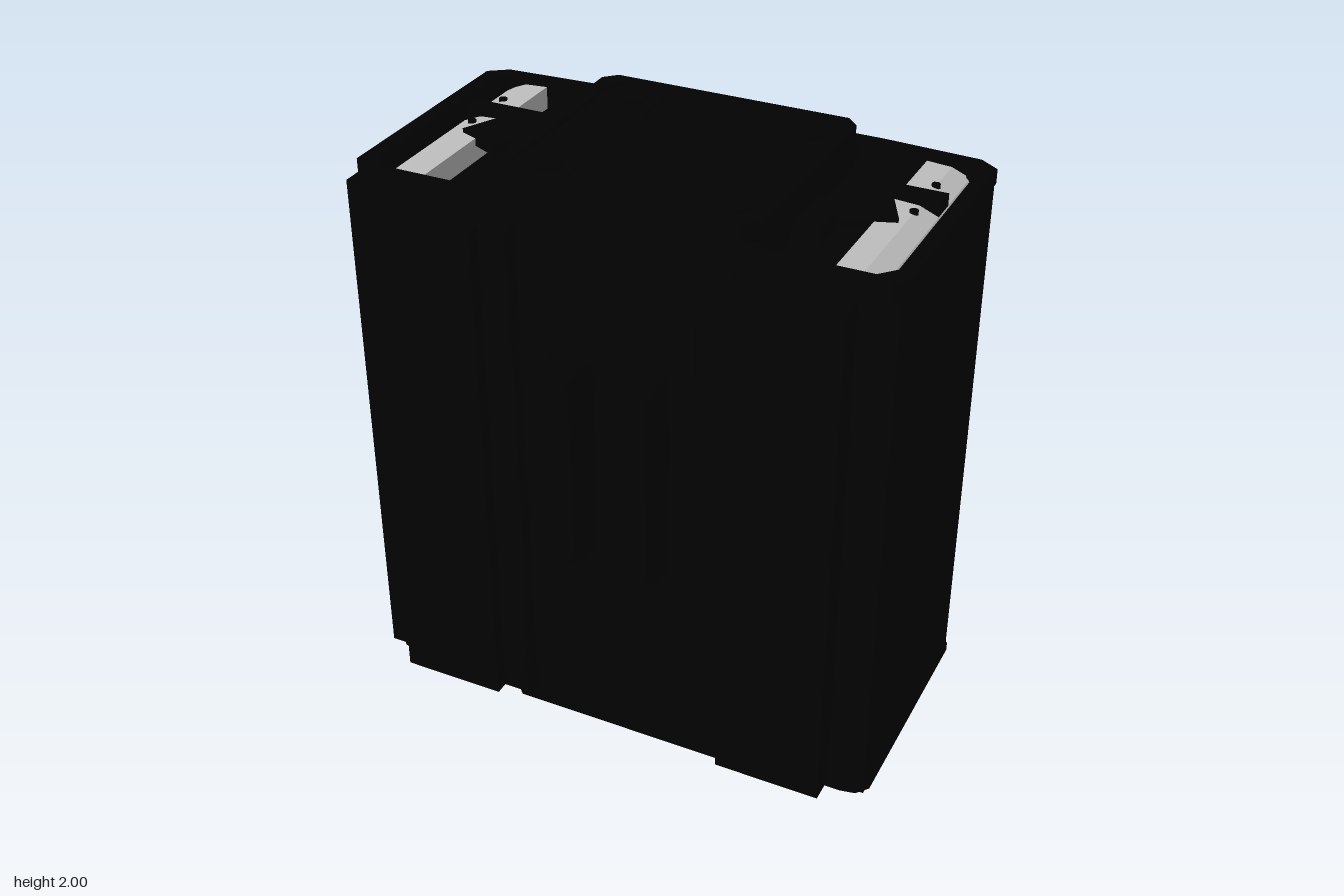
import * as THREE from 'three';

export function createModel() {
  const model = new THREE.Group();
  const cabinet = new THREE.Group();
  cabinet.name = 'cabinet';
  cabinet.position.x = 0.006;
  model.add(cabinet);
  const mat = (name, color) => {
    const m = new THREE.MeshStandardMaterial({ color });
    m.name = name;
    return m;
  };
  const black = mat('black casing', 0x020202);
  black.side = THREE.DoubleSide;
  const grey = mat('grey interior', 0xbebebe);

  const add = (name, geo, material = black, parent = cabinet) => {
    const m = new THREE.Mesh(geo, material);
    m.name = name;
    parent.add(m);
    return m;
  };
  // box from minimum and maximum corners
  const box = (name, x0, x1, y0, y1, z0, z1, material, parent) => {
    const m = add(name, new THREE.BoxGeometry(x1 - x0, y1 - y0, z1 - z0), material, parent);
    m.position.set((x0 + x1) / 2, (y0 + y1) / 2, (z0 + z1) / 2);
    return m;
  };
  // plan outline given as [x, z] points, raised from y0 to y1
  const plan = (pts, y0, y1, holes = []) => {
    const toV = (a) => a.map(([x, z]) => new THREE.Vector2(x, -z));
    const s = new THREE.Shape(toV(pts));
    holes.forEach((h) => s.holes.push(new THREE.Path(toV(h))));
    const g = new THREE.ExtrudeGeometry(s, { depth: y1 - y0, bevelEnabled: false });
    return g.rotateX(-Math.PI / 2).translate(0, y0, 0);
  };
  const chamfered = (x0, x1, z0, z1, c) => [
    [x0 + c, z0], [x1 - c, z0], [x1, z0 + c], [x1, z1 - c],
    [x1 - c, z1], [x0 + c, z1], [x0, z1 - c], [x0, z0 + c]];
  // casing outline, half mirrored about x = 0
  const outline = (d) => {
    const half = [[0.12, 0.413 - d], [0.56, 0.413 - d], [0.64, 0.4 - d], [0.8, 0.4 - d], [0.85 - d, 0.39 - d],
      [0.883 - d, 0.35], [0.883 - d, -0.42 + d], [0.82 - d, -0.465 + d], [0.5, -0.482 + d]];
    return [...half, ...half.map(([x, z]) => [-x, z]).reverse()];
  };

  // outer casing, open at both ends over the side bays
  add('casing', plan(outline(0.004), 0.11, 1.89, [outline(0.04)]));
  const well = [[0.44, -0.43], [0.8, -0.43], [0.835, -0.39], [0.835, 0.31], [0.79, 0.36], [0.44, 0.36]];
  add('topRim', plan(outline(0), 1.888, 1.935, [well, well.map(([x, z]) => [-x, z])]));
  add('bottomRim', plan(outline(0), 0.08, 0.112, [chamfered(-0.835, -0.63, -0.05, 0.36, 0.04)]));
  box('core', -0.66, 0.66, 0.13, 1.84, -0.445, 0.375);
  // pale liner inside the lower side opening
  box('bayLiner', -0.845, -0.836, 0.113, 0.27, -0.05, 0.36, grey);

  for (const s of [-1, 1]) {
    // grey inner housings with sloping shoulders
    const sh = new THREE.Shape([[0.65, 0.25], [0.842, 0.25], [0.842, 1.84], [0.8, 1.885], [0.74, 1.91], [0.66, 1.915]]
      .map(([x, y]) => new THREE.Vector2(x * s, y)));
    const g = new THREE.ExtrudeGeometry(sh, { depth: 0.785, bevelEnabled: false }).translate(0, 0, -0.428);
    add('innerHousing', g, grey);
    // mounting bracket, hinged plate, screws
    box('bracket', Math.min(s * 0.8, s * 0.52), Math.max(s * 0.8, s * 0.52), 1.87, 1.925, -0.22, -0.135);
    const plate = box('hingePlate', -0.085, 0.085, 1.89, 1.925, -0.085, 0.085);
    plate.position.x = s * 0.61;
    plate.position.z = -0.04;
    plate.rotation.y = s * 0.45;
    box('hingeArm', s * 0.48 - 0.05, s * 0.48 + 0.05, 1.84, 1.9, -0.09, 0.11);
    box('clampBlock', s * 0.5 - 0.05, s * 0.5 + 0.05, 1.84, 1.88, -0.34, -0.14);
    for (const z of [-0.28, -0.085]) {
      const screw = add('screw', new THREE.CylinderGeometry(0.014, 0.014, 0.02, 8));
      screw.position.set(s * 0.74, 1.908, z);
    }
  }

  // raised end plates with a border and four round feet
  const endPlate = (name, y, turn) => {
    const g = new THREE.Group();
    g.name = name;
    const edge = chamfered(-0.437, 0.437, -0.44, 0.36, 0.04);
    add('plate', plan(edge, -0.16, -0.02), black, g);
    add('border', plan(edge, -0.02, 0, [chamfered(-0.39, 0.39, -0.4, 0.32, 0.04)]), black, g);
    for (const x of [-0.31, 0.31]) for (const z of [-0.32, 0.23]) {
      const foot = add('foot', new THREE.CylinderGeometry(0.07, 0.07, 0.02, 24), black, g);
      foot.position.set(x, -0.012, z);
      box('footPad', x - 0.11, x + 0.11, -0.021, -0.014, z - 0.09, z + 0.09, black, g);
    }
    for (const x of [-0.2, 0.2]) for (const z of [-0.33, -0.22])
      box('stud', x - 0.012, x + 0.012, -0.021, -0.005, z - 0.012, z + 0.012, black, g);
    g.position.y = y;
    if (turn) g.rotation.z = Math.PI;
    cabinet.add(g);
  };
  endPlate('topPlate', 2, false);
  endPlate('bottomPlate', 0, true);

  // stepped front doors
  for (const s of [-1, 1]) {
    const span = (name, a, b, y0, y1, z0, z1) =>
      box(name, Math.min(a * s, b * s), Math.max(a * s, b * s), y0, y1, z0, z1);
    span('frontDoor', 0.405, 0.76, 0.115, 1.865, 0.415, 0.5);
    span('doorBacking', 0.4, 0.76, 0.115, 1.88, 0.38, 0.42);
    span('doorStep', 0.305, 0.405, 0.115, 1.88, 0.39, 0.455);
    span('lowerStepPad', 0.31, 0.4, 0.13, 0.55, 0.45, 0.462);
    span('upperStepPad', 0.31, 0.4, 1.47, 1.87, 0.45, 0.462);
    span('latch', 0.2, 0.38, 1.32, 1.47, 0.405, 0.42);
    span('lowerLatch', 0.2, 0.4, 1.03, 1.08, 0.405, 0.418);
    // thin sheets squaring off the front corners
    const front = add('cornerFront', new THREE.PlaneGeometry(0.135, 1.775));
    front.position.set(s * 0.8155, 1.0025, 0.413);
    const side = add('cornerSide', new THREE.PlaneGeometry(0.073, 1.775).rotateY(s * Math.PI / 2));
    side.position.set(s * 0.883, 1.0025, 0.3765);
  }
  box('catchPlate', -0.28, 0.28, 1.5, 1.67, 0.405, 0.418);

  // two upright front grips with tapered sections and rounded ends
  const half = 0.385, rings = [];
  for (const [inset, z] of [[0, 0.4], [0.006, 0.455], [0.025, 0.485], [0.04, 0.497]]) {
    const r = 0.07 - inset, row = [];
    for (let i = 0; i < 24; i++) {
      const a = ((i + 0.5) / 24) * Math.PI * 2;
      row.push([Math.cos(a) * r, Math.sin(a) * r + Math.sign(Math.sin(a)) * (half - 0.07), z]);
    }
    rings.push(row);
  }
  const pos = [], idx = [];
  rings.forEach((row, j) => row.forEach((p, i) => {
    pos.push(...p);
    const a = j * 24 + i, b = j * 24 + (i + 1) % 24;
    if (j < 3) idx.push(a, b, b + 24, a, b + 24, a + 24);
    else idx.push(a, b, 96);
  }));
  pos.push(0, 0, 0.497);
  const gripGeo = new THREE.BufferGeometry();
  gripGeo.setAttribute('position', new THREE.Float32BufferAttribute(pos, 3));
  gripGeo.setIndex(idx);
  gripGeo.computeVertexNormals();
  for (const x of [-0.127, 0.127]) add('frontGrip', gripGeo).position.set(x, 1.113, 0);

  // tapered pads on the back: the outer face is drawn in on all sides
  const padGeo = new THREE.BoxGeometry(0.24, 0.44, 0.025);
  const p = padGeo.attributes.position;
  for (let i = 0; i < p.count; i++) {
    if (p.getZ(i) < 0) p.setXY(i, p.getX(i) * 0.68, p.getY(i) * 0.66);
  }
  padGeo.computeVertexNormals();
  for (const y of [0.555, 1.455]) add('backPad', padGeo).position.set(0, y, -0.4875);

  // small light strips along the side and clips on the back edge
  for (let i = 0; i < 5; i++)
    box('sideStrip', -0.9, -0.87, 0.575 + i * 0.246, 0.813 + i * 0.246, -0.276, -0.27, grey);
  for (const y of [0.37, 0.74, 1.26, 1.64]) {
    box('backClip', 0.722, 0.729, y - 0.025, y + 0.025, -0.47, -0.45, grey);
    for (const s of [-1, 1]) box('backTab', s * 0.765 - 0.03, s * 0.765 + 0.03, y - 0.04, y + 0.04, -0.471, -0.45);
  }
  return model;
}
